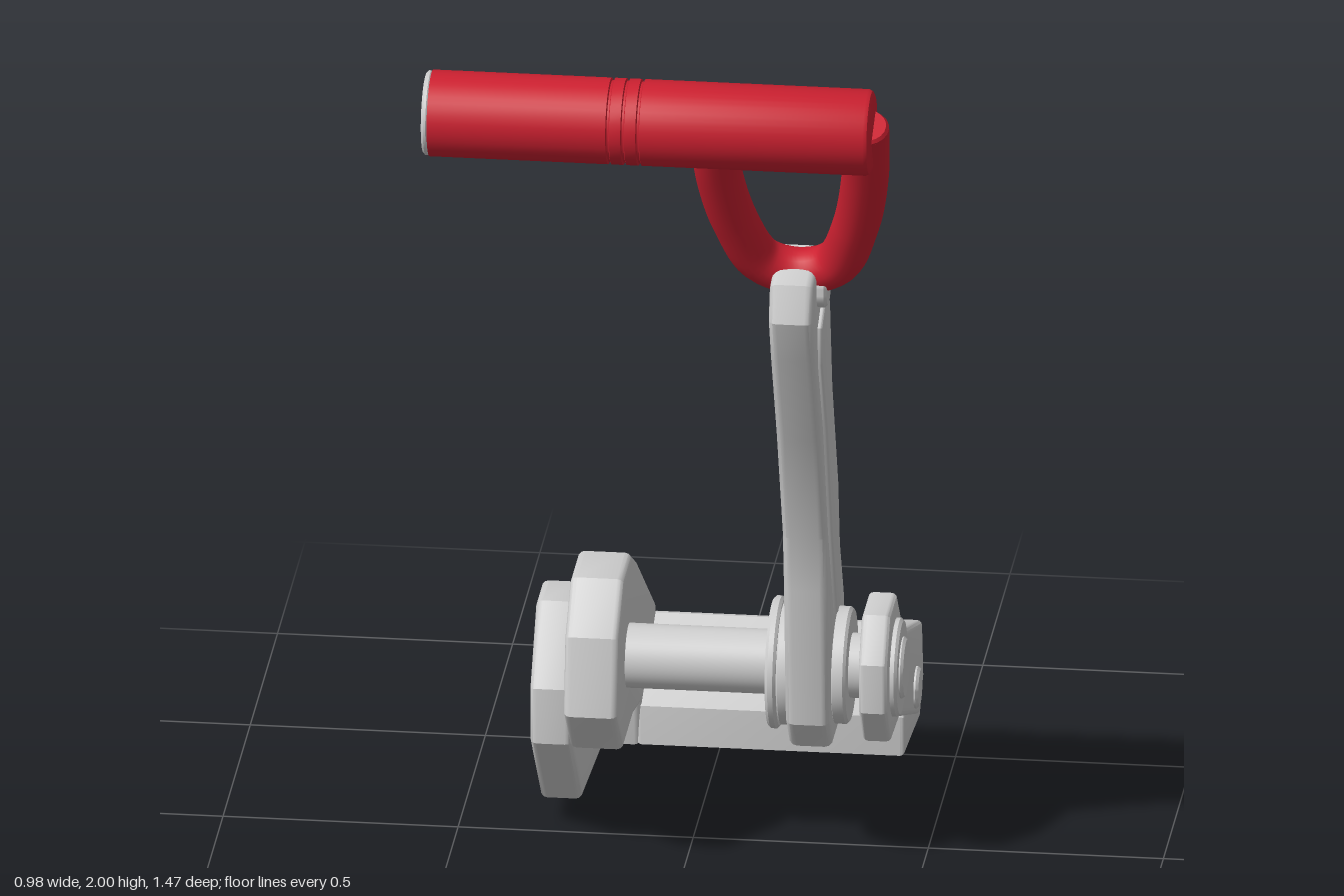
import * as THREE from 'three';
import { toCreasedNormals } from 'three/addons/utils/BufferGeometryUtils.js';

const grey = new THREE.MeshStandardMaterial({ name: 'light grey metal', color: 0xcecece });
const red = new THREE.MeshStandardMaterial({ name: 'red grip', color: 0xcc2030 });

// Bevelled plate: side profile as [z, y] points, spanning x0..x1
function plate(name, x0, x1, points, bevel = 0.015) {
  const shape = new THREE.Shape(points.map(([z, y]) => new THREE.Vector2(-z, y)));
  const geo = new THREE.ExtrudeGeometry(shape, {
    depth: x1 - x0 - 2 * bevel, bevelThickness: bevel, bevelSize: bevel,
    bevelOffset: -bevel, bevelSegments: 3,
  });
  geo.translate(0, 0, bevel).rotateY(Math.PI / 2).translate(x0, 0, 0);
  const mesh = new THREE.Mesh(toCreasedNormals(geo, 0.55), grey);
  mesh.name = name;
  return mesh;
}

// Turned part along x: profile as [radius, x] points, centred on (y, z)
function turned(name, profile, y, z, material = grey) {
  const pts = profile.map(([r, x]) => new THREE.Vector2(r, x));
  let geo = new THREE.LatheGeometry(pts, 40);
  geo.rotateZ(-Math.PI / 2);
  geo = toCreasedNormals(geo, 0.5);
  const mesh = new THREE.Mesh(geo, material);
  mesh.name = name;
  mesh.position.set(0, y, z);
  return mesh;
}

// Disc with softened rims
function disc(name, x0, x1, r, y, z, b = 0.006) {
  return turned(name, [[0, x0], [r - b, x0], [r, x0 + b], [r, x1 - b], [r - b, x1], [0, x1]], y, z);
}

export function createModel() {
  const model = new THREE.Group();
  model.name = 'lever pedal';
  const py = 0.44, pz = 0.067; // pivot axis

  // Base frame
  model.add(
    plate('outerSidePlate', -0.33, -0.24, [
      [0.155, 0.265], [0.155, 0.39], [0.04, 0.545], [-0.07, 0.545], [-0.16, 0.49],
      [-0.22, 0.335], [-0.47, 0.285], [-0.71, 0.23], [-0.738, 0.205], [-0.6, 0], [-0.04, 0.06],
    ]),
    plate('innerSidePlate', -0.245, -0.13, [
      [0.275, 0.38], [0.245, 0.55], [0.145, 0.646], [0.0, 0.646], [-0.1, 0.59], [-0.445, 0.35],
      [-0.48, 0.16], [-0.46, 0.105], [-0.17, 0.135], [-0.16, 0.23], [-0.03, 0.26], [0.155, 0.26],
    ]),
    plate('crossBar', -0.14, 0.43, [
      [-0.168, 0.137], [-0.168, 0.225], [-0.43, 0.33], [-0.45, 0.325], [-0.48, 0.16], [-0.46, 0.105],
    ], 0.01),
    plate('rightArm', 0.375, 0.437, [
      [0.208, 0.39], [0.208, 0.5], [0.145, 0.59], [0.02, 0.59], [-0.11, 0.45], [-0.44, 0.335],
      [-0.465, 0.2], [-0.39, 0.14], [-0.03, 0.285], [0.13, 0.295],
    ], 0.012),
  );

  // Pivot shaft, washers and bolts
  model.add(
    disc('pivotShaft', -0.14, 0.4, 0.069, py, pz),
    disc('leftWasher', 0.175, 0.198, 0.141, py, pz),
    disc('leftHub', 0.195, 0.225, 0.132, py, pz),
    disc('rightHub', 0.31, 0.345, 0.125, py, pz),
    disc('pivotFlange', 0.43, 0.452, 0.105, py, pz),
    disc('pivotBolt', 0.44, 0.461, 0.066, py, pz),
    disc('barBolt', 0.43, 0.447, 0.045, 0.235, -0.313),
  );

  // Lever with a raised panel on its right-hand face
  model.add(
    plate('lever', 0.22, 0.315, [
      [0.53, 1.41], [0.505, 1.49], [0.37, 1.527], [0.29, 1.48], [0.245, 1.385], [0.2, 1.185],
      [0.105, 0.935], [0.015, 0.72], [-0.065, 0.56], [-0.088, 0.45], [-0.07, 0.36], [0.0, 0.285],
      [0.15, 0.285], [0.215, 0.36], [0.25, 0.68], [0.27, 0.81], [0.38, 1.08], [0.49, 1.31],
    ], 0.018),
    plate('leverPanel', 0.3, 0.325, [
      [0.435, 1.365], [0.345, 1.41], [0.288, 1.37], [0.245, 1.16], [0.135, 0.89],
      [0.08, 0.605], [0.14, 0.588], [0.245, 0.82], [0.335, 1.09], [0.43, 1.28],
    ], 0.006),
    disc('yokeSocket', 0.3, 0.336, 0.048, 1.455, 0.41),
  );

  // Yoke: a bent rod in a leaning plane
  const bend = [
    [0.115, 1.87], [0.118, 1.76], [0.145, 1.62], [0.195, 1.51], [0.27, 1.483],
    [0.35, 1.51], [0.4, 1.62], [0.43, 1.77], [0.44, 1.915],
  ].map(([x, y]) => new THREE.Vector3(x, y, 0.405 + (y - 1.483) * 0.52));
  const curve = new THREE.CatmullRomCurve3(bend);
  const yoke = new THREE.Mesh(new THREE.TubeGeometry(curve, 64, 0.05, 20), red);
  yoke.name = 'yoke';
  model.add(yoke);
  // Rod end cap
  const cap = new THREE.Mesh(new THREE.CylinderGeometry(0.043, 0.05, 0.01, 20), red);
  cap.name = 'yokeEnd';
  cap.position.copy(curve.getPoint(1));
  cap.quaternion.setFromUnitVectors(new THREE.Vector3(0, 1, 0), curve.getTangent(1));
  model.add(cap);

  // Grip with three fine grooves and a grey end cap
  const r = 0.092;
  const grip = [[0, -0.482], [r, -0.482]];
  for (const x of [-0.098, -0.066, -0.034]) {
    grip.push([r, x - 0.004], [r - 0.005, x - 0.002], [r - 0.005, x + 0.002], [r, x + 0.004]);
  }
  grip.push([r, 0.445], [r - 0.004, 0.453], [r - 0.012, 0.457], [0, 0.457]);
  model.add(
    turned('grip', grip, 1.908, 0.644, red),
    disc('gripEndCap', -0.495, -0.48, 0.09, 1.908, 0.644, 0.005),
  );
  return model;
}
